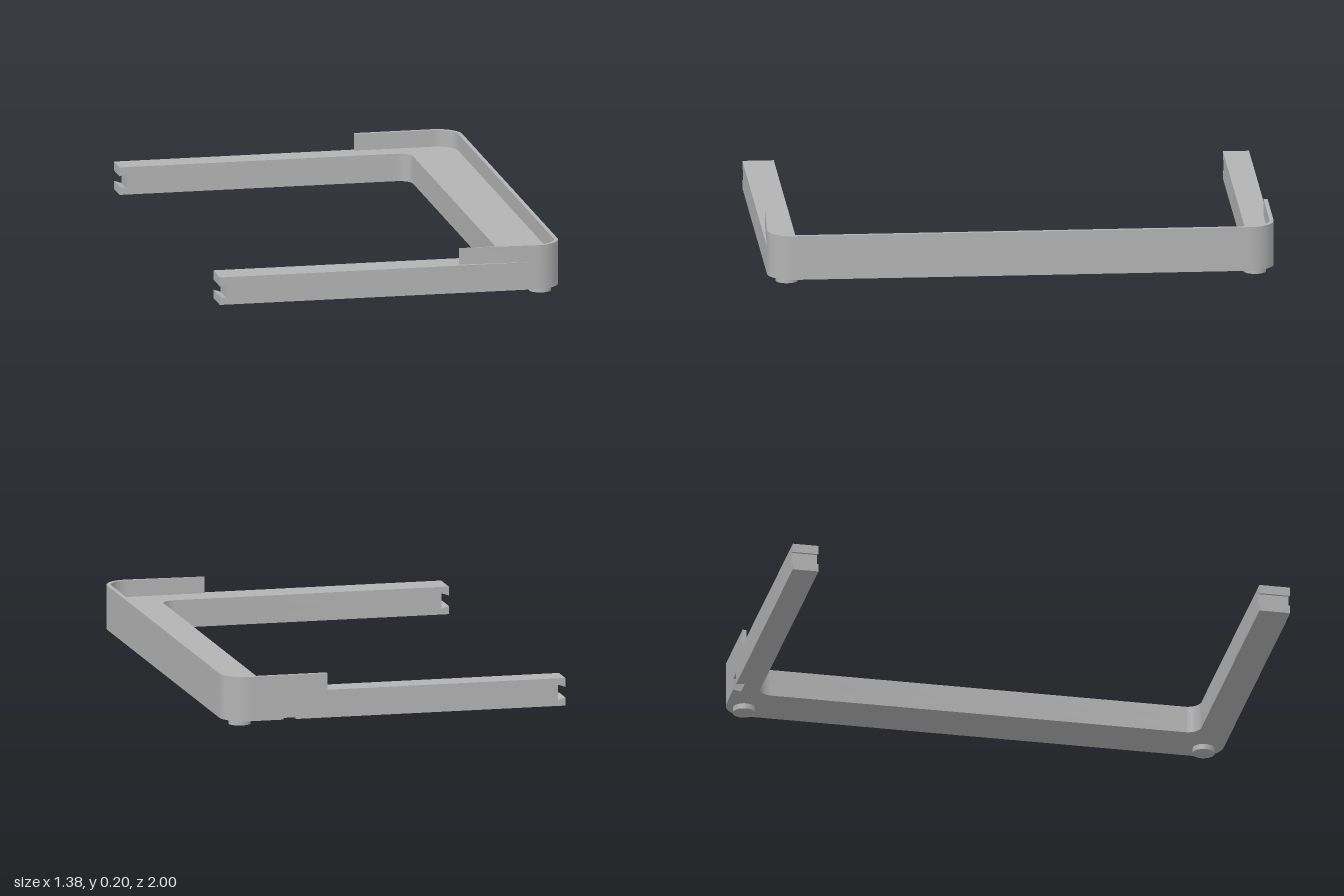
import * as THREE from 'three';
import { toCreasedNormals } from 'three/addons/utils/BufferGeometryUtils.js';

const END = -0.69, SIDE = 0.69;      // arm tips and outer face of the crossbar
const JOINT = -0.64;                 // where the slotted arm tips begin
const BOTTOM = 0.022, NOTCH_TOP = 0.07, TOP = 0.133, LIP_TOP = 0.2;
const BACK_IN = 0.897, FRONT_IN = -0.876; // inner faces of the arms (plan y = -z)

export function createModel() {
  const model = new THREE.Group();
  const grey = new THREE.MeshStandardMaterial({ color: 0xb3b3b3 });
  grey.name = 'grey plastic';

  const add = (name, geometry) => {
    const mesh = new THREE.Mesh(geometry, grey);
    mesh.name = name;
    model.add(mesh);
    return mesh;
  };

  // Extrudes a plan shape (x, -z) upwards between two heights
  const slab = (name, shape, y0, y1) => {
    const g = new THREE.ExtrudeGeometry(shape, { depth: y1 - y0, bevelEnabled: false, curveSegments: 16 });
    g.rotateX(-Math.PI / 2).translate(0, y0, 0);
    return add(name, toCreasedNormals(g, 0.5));
  };

  // U-shaped plan, optionally with the dovetail notch in the back face
  const framePlan = (notched) => {
    const s = new THREE.Shape();
    s.moveTo(JOINT, -1);
    s.lineTo(SIDE - 0.1, -1);
    s.absarc(SIDE - 0.1, -0.9, 0.1, -Math.PI / 2, 0, false);
    s.absarc(SIDE - 0.1, 0.9, 0.1, 0, Math.PI / 2, false);
    if (notched) {
      s.lineTo(0.455, 1);
      s.lineTo(0.467, 0.967);
      s.lineTo(0.393, 0.967);
      s.lineTo(0.405, 1);
    }
    s.lineTo(JOINT, 1);
    s.lineTo(JOINT, BACK_IN);
    s.absarc(0.425, BACK_IN - 0.055, 0.055, Math.PI / 2, 0, true);
    s.absarc(0.425, FRONT_IN + 0.055, 0.055, 0, -Math.PI / 2, true);
    s.lineTo(JOINT, FRONT_IN);
    s.closePath();
    return s;
  };
  slab('lowerFrame', framePlan(true), BOTTOM, NOTCH_TOP);
  slab('upperFrame', framePlan(false), NOTCH_TOP, TOP);

  // Thin raised lip around the outside
  const t = 0.016, lipEnd = 0.275;
  const lip = new THREE.Shape();
  lip.moveTo(lipEnd, -1);
  lip.absarc(SIDE - 0.1, -0.9, 0.1, -Math.PI / 2, 0, false);
  lip.absarc(SIDE - 0.1, 0.9, 0.1, 0, Math.PI / 2, false);
  lip.lineTo(lipEnd, 1);
  lip.lineTo(lipEnd, 1 - t);
  lip.absarc(SIDE - 0.1, 0.9, 0.1 - t, Math.PI / 2, 0, true);
  lip.absarc(SIDE - 0.1, -0.9, 0.1 - t, 0, -Math.PI / 2, true);
  lip.lineTo(lipEnd, -1 + t);
  lip.closePath();
  slab('raisedLip', lip, TOP, LIP_TOP);

  // Arm tips with a dovetail slot running across them
  const tip = new THREE.Shape([
    [JOINT, BOTTOM], [JOINT, TOP], [END, TOP], [END, 0.097], [-0.66, 0.107],
    [-0.66, 0.045], [END, 0.055], [END, BOTTOM],
  ].map(([x, y]) => new THREE.Vector2(x, y)));
  for (const [name, z0, z1] of [['frontArmTip', -FRONT_IN, 1], ['backArmTip', -1, -BACK_IN]]) {
    const g = new THREE.ExtrudeGeometry(tip, { depth: z1 - z0, bevelEnabled: false });
    add(name, g.translate(0, 0, z0));
  }

  // Round feet under the corners
  for (const side of [1, -1]) {
    const foot = add(side > 0 ? 'frontFoot' : 'backFoot', new THREE.CylinderGeometry(0.044, 0.044, BOTTOM, 32));
    foot.position.set(0.614, BOTTOM / 2, side * 0.924);
  }

  return model;
}
